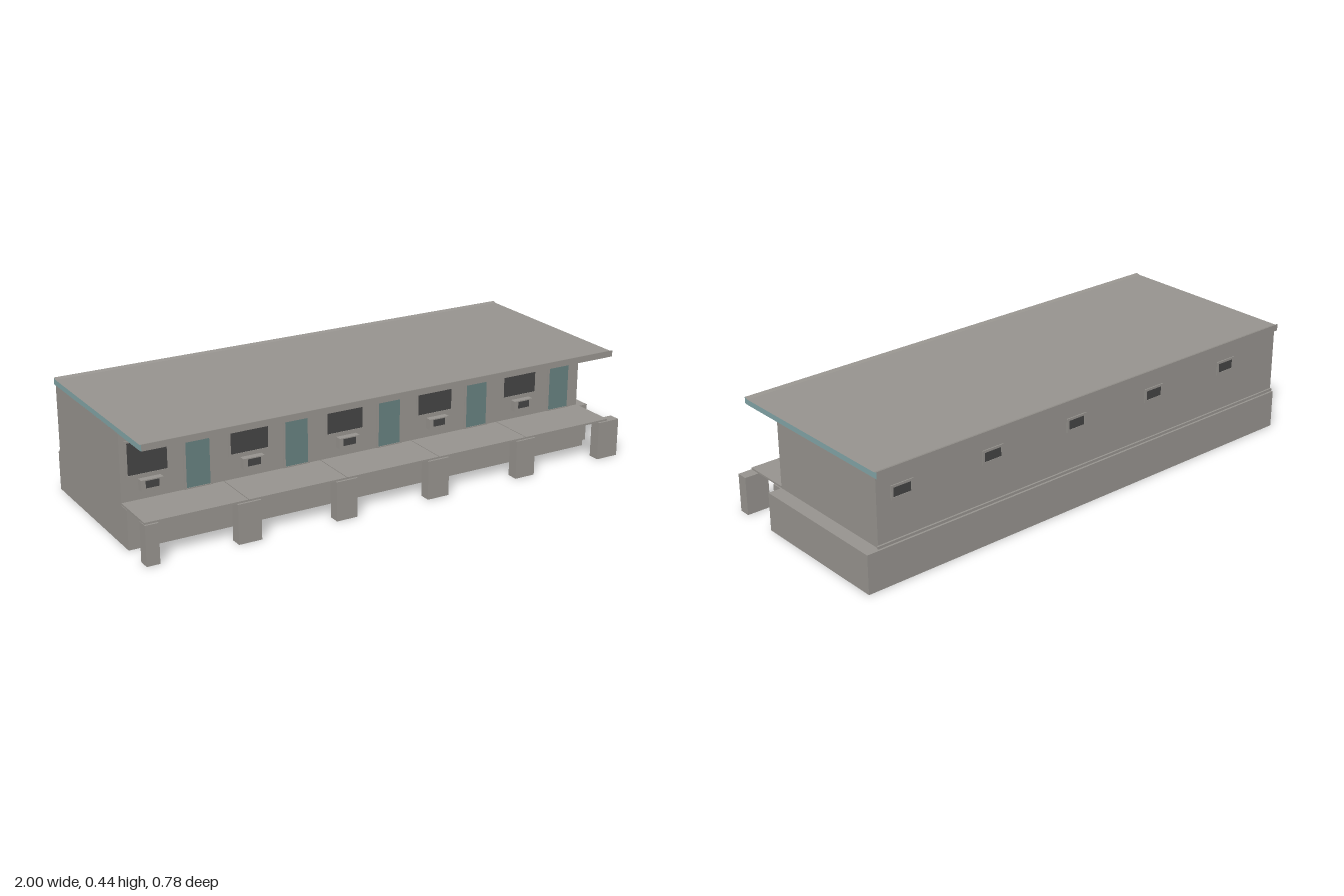
import * as THREE from 'three';

const material = (name, color) => {
  const m = new THREE.MeshStandardMaterial({ color });
  m.name = name;
  return m;
};

export function createModel() {
  const concrete = material('concrete grey', 0x96938e);
  const doorTeal = material('door teal', 0x66807f);
  const trimTeal = material('roof trim teal', 0x82a4a6);
  const glass = material('dark glass', 0x444444);

  const building = new THREE.Group();
  building.name = 'building';

  // Box given by its lower and upper limits on each axis
  const box = (name, mat, [x0, x1], [y0, y1], [z0, z1], parent = building) => {
    const mesh = new THREE.Mesh(new THREE.BoxGeometry(x1 - x0, y1 - y0, z1 - z0), mat);
    mesh.position.set((x0 + x1) / 2, (y0 + y1) / 2, (z0 + z1) / 2);
    mesh.name = name;
    parent.add(mesh);
    return mesh;
  };

  // Thin raised frame around an opening, facing +z from z = 0, centred on x = 0
  const frame = (name, w, y0, y1, rim, parent) => {
    const rect = (Type, a, b, c) =>
      new Type([[-a, b], [a, b], [a, c], [-a, c]].map(p => new THREE.Vector2(...p)));
    const shape = rect(THREE.Shape, w / 2, y0, y1);
    shape.holes.push(rect(THREE.Path, w / 2 - rim, y0 + rim, y1 - rim));
    const geo = new THREE.ExtrudeGeometry(shape, { depth: 0.004, bevelEnabled: false });
    const mesh = new THREE.Mesh(geo, concrete);
    mesh.name = name;
    parent.add(mesh);
  };

  // Foundation, with a ledge at one end and along the back
  box('foundation', concrete, [-1, 0.95], [0, 0.15], [-0.39, 0.24]);
  box('endLedge', concrete, [0.95, 1], [0, 0.15], [-0.39, 0.195]);
  box('backSkirting', concrete, [-1, 0.95], [0.15, 0.16], [-0.382, -0.375]);

  // Walls
  box('walls', concrete, [-1, 0.945], [0.15, 0.414], [-0.375, 0.195]);

  // Roof slab with upturned front and back lips; its ends are teal
  const profile = [[-0.39, 0.412], [0.37, 0.412], [0.39, 0.414], [0.39, 0.438],
    [0.375, 0.433], [-0.375, 0.433], [-0.39, 0.438]];
  const roofShape = new THREE.Shape(profile.map(p => new THREE.Vector2(...p)));
  const roofGeo = new THREE.ExtrudeGeometry(roofShape, { depth: 1.95, bevelEnabled: false });
  roofGeo.rotateY(-Math.PI / 2).translate(0.95, 0, 0);
  const roof = new THREE.Mesh(roofGeo, [trimTeal, concrete]);
  roof.name = 'roof';
  building.add(roof);

  // Porch posts
  const posts = [[-1, -0.95], [-0.655, -0.565], [-0.265, -0.18],
    [0.12, 0.21], [0.515, 0.6], [0.905, 1]];
  posts.forEach(x => box('porchPost', concrete, x, [0, 0.15], [0.345, 0.39]));

  // Five repeated bays: deck slab, window, wall unit, door, rear vent
  for (let i = 0; i < 5; i++) {
    const x = i * 0.39;
    box('deckSlab', concrete, [-1 + x, -0.613 + x], [0.152, 0.159], [0.195, 0.386]);

    const win = new THREE.Group();
    win.name = 'window';
    win.position.set(-0.899 + x, 0, 0.195);
    frame('windowFrame', 0.164, 0.245, 0.38, 0.008, win);
    box('windowGlass', glass, [-0.074, 0.074], [0.253, 0.372], [-0.001, 0.002], win);
    building.add(win);

    const unit = new THREE.Group();
    unit.name = 'coolingUnit';
    unit.position.set(-0.893 + x, 0, 0.195);
    box('unitBody', concrete, [-0.042, 0.042], [0.195, 0.236], [0, 0.025], unit);
    box('unitGrille', glass, [-0.025, 0.025], [0.206, 0.232], [0.025, 0.027], unit);
    box('unitDrain', concrete, [0.014, 0.018], [0.178, 0.195], [0, 0.006], unit);
    building.add(unit);

    const door = new THREE.Group();
    door.name = 'door';
    door.position.set(-0.71 + x, 0, 0.195);
    frame('doorFrame', 0.108, 0.155, 0.384, 0.008, door);
    box('doorPanel', doorTeal, [-0.046, 0.046], [0.16, 0.376], [-0.001, 0.002], door);
    building.add(door);

    const vent = new THREE.Group();
    vent.name = 'rearWindow';
    vent.position.set(-0.72 + x, 0, -0.375);
    vent.rotation.y = Math.PI;
    frame('rearWindowFrame', 0.092, 0.308, 0.362, 0.009, vent);
    box('rearWindowGlass', glass, [-0.037, 0.037], [0.317, 0.353], [-0.001, 0.002], vent);
    building.add(vent);
  }

  return building;
}
